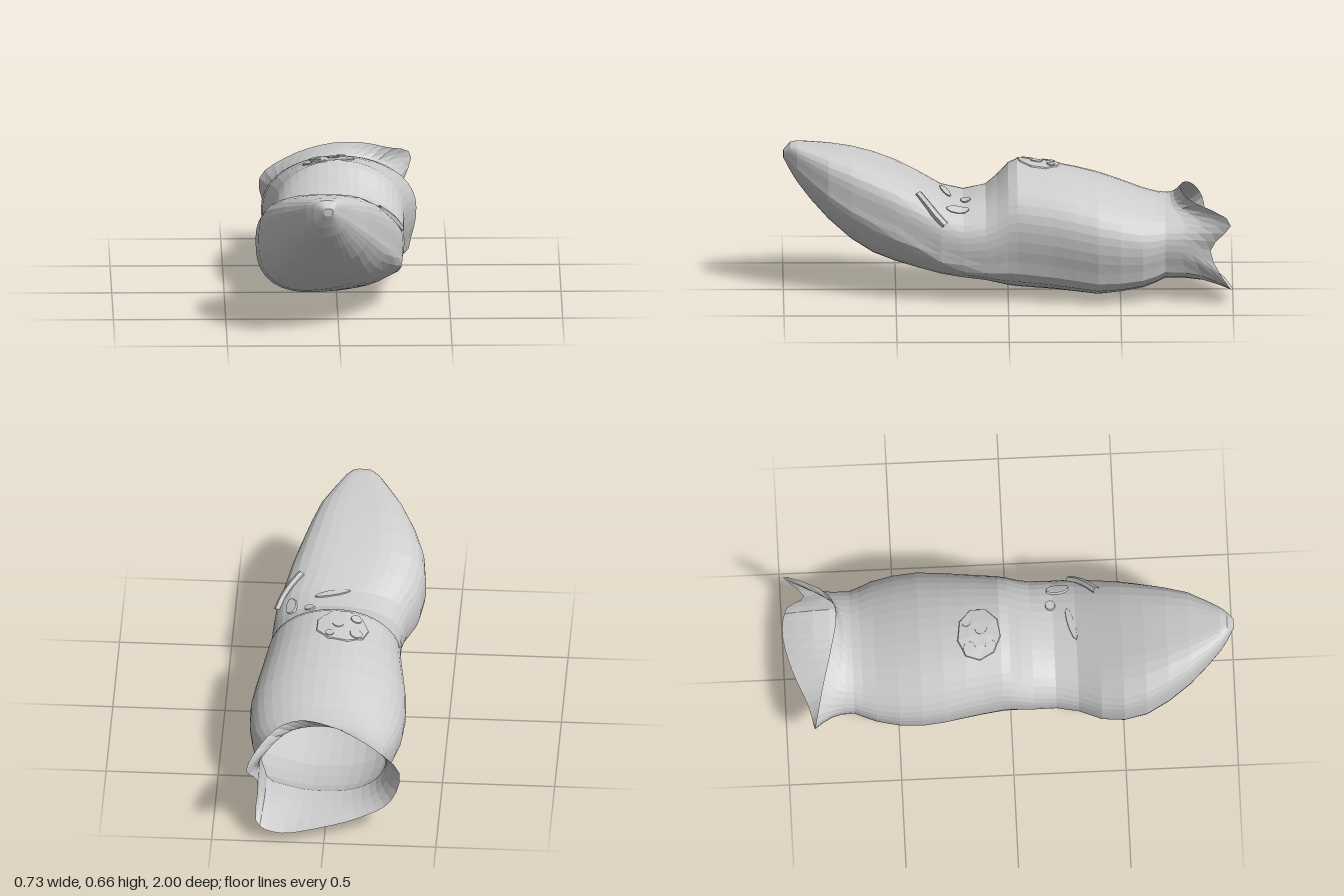
import * as THREE from 'three';

const SEG = 40;
const RAD = Math.PI / 180;
const material = new THREE.MeshStandardMaterial({ color: 0xcccccc, flatShading: true, side: THREE.DoubleSide });

// Body sections from nose to tail: z, min x, max x, bottom y, top y
const STATIONS = [
  [1, -0.07, -0.03, 0.595, 0.63], [0.97, -0.115, 0, 0.535, 0.66], [0.94, -0.15, 0.03, 0.485, 0.663],
  [0.88, -0.2, 0.075, 0.405, 0.655], [0.8, -0.26, 0.13, 0.315, 0.643], [0.7, -0.315, 0.172, 0.225, 0.622],
  [0.6, -0.355, 0.207, 0.162, 0.592], [0.5, -0.367, 0.24, 0.128, 0.555], [0.4, -0.35, 0.268, 0.105, 0.51],
  [0.3, -0.3, 0.293, 0.088, 0.465], [0.2, -0.277, 0.3, 0.075, 0.45], [0.1, -0.28, 0.3, 0.062, 0.475],
  [0.05, -0.282, 0.3, 0.05, 0.52], [0, -0.285, 0.302, 0.038, 0.575], [-0.04, -0.288, 0.306, 0.032, 0.595],
  [-0.12, -0.298, 0.318, 0.027, 0.585], [-0.2, -0.31, 0.33, 0.022, 0.575], [-0.3, -0.325, 0.348, 0.012, 0.555],
  [-0.4, -0.33, 0.362, 0.002, 0.53], [-0.5, -0.322, 0.359, 0.014, 0.495], [-0.6, -0.298, 0.342, 0.034, 0.458],
  [-0.66, -0.275, 0.315, 0.056, 0.442], [-0.7, -0.26, 0.298, 0.076, 0.438],
];

// Flared tail rim, one point per 30 degrees starting at +x
const RIM = [
  [0.3, 0.25, -0.9], [0.347, 0.385, -0.99], [0.23, 0.47, -0.8], [0.12, 0.5, -0.765],
  [-0.02, 0.49, -0.79], [-0.2, 0.42, -0.84], [-0.33, 0.31, -0.875], [-0.285, 0.15, -0.88],
  [-0.16, 0.08, -0.9], [0.02, 0.06, -0.965], [0.2, 0.05, -1], [0.3, 0.085, -0.98],
];

function sectionAt(z) {
  let i = 0;
  while (i < STATIONS.length - 2 && STATIONS[i + 1][0] > z) i++;
  const a = STATIONS[i], b = STATIONS[i + 1];
  const t = (z - a[0]) / (b[0] - a[0]);
  return a.map((v, k) => v + (b[k] - v) * t);
}

// Point on the skin: rounded section, boxier at the head, with a keel low along the +x side
function skin(z, angle, lift = 0) {
  const [, x0, x1, y0, y1] = sectionAt(z);
  const c = Math.cos(angle), s = Math.sin(angle);
  const head = THREE.MathUtils.smoothstep(z, 0, 0.7);
  const power = s > 0 ? 2.05 + (c > 0 ? 1.5 : 1.1) * head : 2.3 + 0.2 * head;
  let r = Math.pow(Math.abs(c) ** power + Math.abs(s) ** power, -1 / power);
  const keel = THREE.MathUtils.lerp(-41, -12, head) * RAD;
  r *= 1 + (0.085 - 0.06 * head) * Math.exp(-(((angle - keel) / 0.18) ** 2));
  r *= 1 + lift;
  const waist = THREE.MathUtils.lerp(y0, y1, 0.55 - 0.03 * head);
  // the underside of the head slopes up towards the keel
  const slope = s < 0 ? 1 - 0.14 * head * c : 1;
  const half = s > 0 ? y1 - waist : (waist - y0) * slope;
  return new THREE.Vector3((x0 + x1) / 2 + ((x1 - x0) / 2) * c * r, waist + half * s * r, z);
}

// Joins rings of equal length into one surface
function loft(rings) {
  const n = rings[0].length, index = [];
  for (let i = 0; i < rings.length - 1; i++) {
    for (let j = 0; j < n; j++) {
      const k = (j + 1) % n, a = i * n, b = a + n;
      index.push(a + j, b + j, a + k, a + k, b + j, b + k);
    }
  }
  const geometry = new THREE.BufferGeometry().setFromPoints(rings.flat());
  geometry.setIndex(index);
  geometry.computeVertexNormals();
  return geometry;
}

function addMesh(group, name, geometry) {
  const mesh = new THREE.Mesh(geometry, material);
  mesh.name = name;
  group.add(mesh);
}

const ring = (fn) => Array.from({ length: SEG }, (_, j) => fn(j / SEG));

// Maps a turn to an angle between -180 and 180 degrees
const turn = (t) => (t > 0.5 ? t - 1 : t) * Math.PI * 2;

// Oval plate that follows the skin
function plate(angle, z, da, dz, tilt, lift, sides = 10) {
  const rings = [[1.04, 0], [1, lift], [0.5, lift], [0.001, lift]].map(([scale, h]) =>
    Array.from({ length: sides }, (_, j) => {
      const t = (-j / sides) * Math.PI * 2;
      const u = Math.cos(t) * da * scale, v = Math.sin(t) * dz * scale;
      const c = Math.cos(tilt), s = Math.sin(tilt);
      return skin(z + u * s * 0.3 + v * c, angle + u * c - (v * s) / 0.3, h);
    }));
  return loft(rings);
}

export function createModel() {
  const model = new THREE.Group();
  model.name = 'hollowBody';

  // Closed nose and main body
  const tip = new THREE.Vector3(-0.05, 0.613, 1);
  const bodyRings = STATIONS.map(([z]) => ring((t) => skin(z, turn(t))));
  addMesh(model, 'body', loft([ring(() => tip.clone()), ...bodyRings]));

  // Open tail lip, flaring from the last body section to the rim
  const rimCurve = new THREE.CatmullRomCurve3(RIM.map((p) => new THREE.Vector3(...p)), true);
  const last = bodyRings[bodyRings.length - 1];
  const lipRings = [[0, 0], [0.3, 0.04], [0.55, 0.22], [0.8, 0.6], [1, 1]].map(([along, out]) =>
    last.map((p, j) => {
      const q = rimCurve.getPoint(j / SEG);
      return new THREE.Vector3().lerpVectors(p, q, out).setZ(p.z + (q.z - p.z) * along);
    }));
  addMesh(model, 'tailLip', loft(lipRings));

  // Round plate on the hump with its small ovals
  addMesh(model, 'humpPlate', plate(98 * RAD, -0.135, 0.38, 0.095, 0, 0.02, 9));
  const ovals = [[109, -0.18, 0.09, 0.027], [109, -0.085, 0.08, 0.024], [94, -0.125, 0.08, 0.027], [88, -0.19, 0.06, 0.018]];
  ovals.forEach(([a, z, da, dz], i) => addMesh(model, `humpOval${i + 1}`, plate(a * RAD, z, da, dz, 0.3, 0.035)));

  // Small ovals in the saddle behind the head
  const marks = [[66, 0.19, 0.08, 0.022, 0], [48, 0.225, 0.09, 0.05, 0.1], [83, 0.28, 0.25, 0.016, 0.25]];
  marks.forEach(([a, z, da, dz, tilt], i) => addMesh(model, `saddleOval${i + 1}`, plate(a * RAD, z, da, dz, tilt, 0.035)));

  // Raised fold at the side of the saddle
  const fold = new THREE.CatmullRomCurve3(
    [[0.4, 50], [0.36, 42], [0.32, 33], [0.28, 24]].map(([z, a]) => skin(z, a * RAD)));
  addMesh(model, 'sideFold', new THREE.TubeGeometry(fold, 10, 0.018, 6));

  return model;
}
